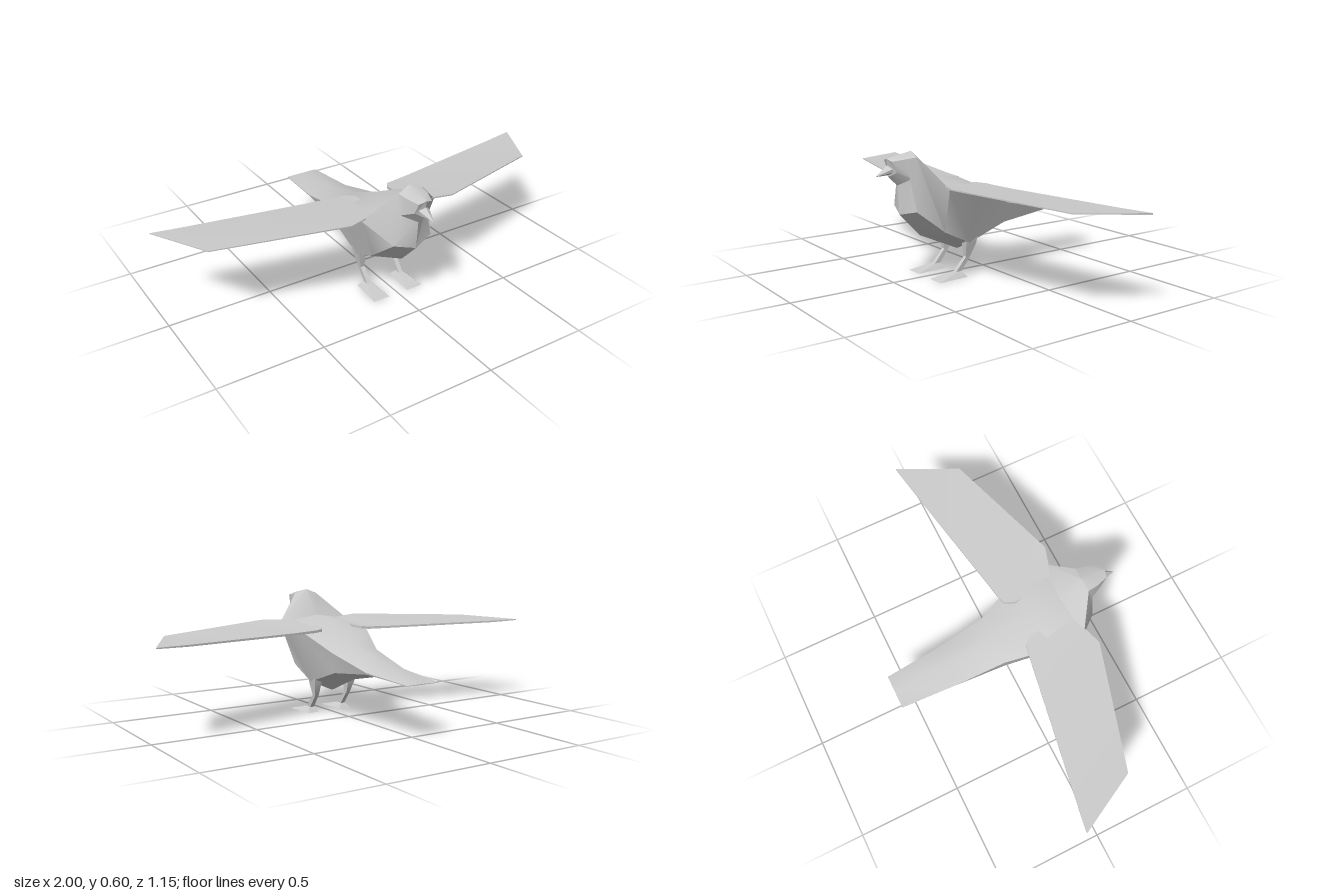
import * as THREE from 'three';
import { toCreasedNormals } from 'three/addons/utils/BufferGeometryUtils.js';

const material = new THREE.MeshStandardMaterial({ color: 0xcccccc });

// Skin a list of equal-length rings (clockwise seen from the far end) and cap both ends.
function loft(name, rings, crease = 0.6) {
  const positions = [];
  const edge1 = new THREE.Vector3(), edge2 = new THREE.Vector3();
  const tri = (a, b, c) => {
    edge1.subVectors(b, a);
    edge2.subVectors(c, a);
    if (edge1.cross(edge2).length() < 1e-8) return;
    for (const p of [a, b, c]) positions.push(p.x, p.y, p.z);
  };
  const loops = rings.map(r => r.map(p => new THREE.Vector3(...p)));
  const n = loops[0].length, last = loops[loops.length - 1];
  for (let i = 0; i < loops.length - 1; i++) {
    const r = loops[i], s = loops[i + 1];
    for (let j = 0; j < n; j++) {
      const k = (j + 1) % n;
      tri(r[j], s[j], r[k]);
      tri(r[k], s[j], s[k]);
    }
  }
  for (let j = 1; j < n - 1; j++) {
    tri(loops[0][0], loops[0][j], loops[0][j + 1]);
    tri(last[0], last[j + 1], last[j]);
  }
  const geometry = new THREE.BufferGeometry();
  geometry.setAttribute('position', new THREE.Float32BufferAttribute(positions, 3));
  const mesh = new THREE.Mesh(toCreasedNormals(geometry, crease), material);
  mesh.name = name;
  return mesh;
}

// Mirror rings across x = 0, keeping the faces outward.
const mirror = rings => rings.map(r => r.map(([x, y, z]) => [-x, y, z]).reverse());

// Six-sided ring: top, upper side, lower side, bottom, then the mirrored sides.
function hexRing([ty, tz], [ux, uy, uz], [lx, ly, lz], [by, bz]) {
  return [[0, ty, tz], [ux, uy, uz], [lx, ly, lz], [0, by, bz], [-lx, ly, lz], [-ux, uy, uz]];
}

// Horizontal rectangle used for legs and feet.
const rect = (x, y, z, w, d) => [
  [x - w, y, z + d], [x + w, y, z + d], [x + w, y, z - d], [x - w, y, z - d]
];

export function createModel() {
  const bird = new THREE.Group();
  bird.name = 'bird';

  // Tail, body and head, from back to front
  bird.add(loft('body', [
    hexRing([0.249, -0.575], [0.085, 0.248, -0.575], [0.085, 0.246, -0.575], [0.245, -0.575]),
    hexRing([0.298, -0.29], [0.105, 0.266, -0.3], [0.102, 0.258, -0.3], [0.243, -0.3]),
    hexRing([0.36, -0.055], [0.125, 0.325, -0.055], [0.11, 0.23, -0.045], [0.19, -0.045]),
    hexRing([0.455, 0.15], [0.195, 0.428, 0.16], [0.118, 0.16, 0.16], [0.108, 0.15]),
    hexRing([0.472, 0.295], [0.198, 0.44, 0.32], [0.126, 0.23, 0.3], [0.2, 0.355]),
    hexRing([0.595, 0.395], [0.062, 0.573, 0.405], [0.1, 0.335, 0.43], [0.31, 0.46]),
    hexRing([0.582, 0.46], [0.055, 0.568, 0.455], [0.068, 0.48, 0.43], [0.445, 0.47]),
    hexRing([0.57, 0.522], [0.034, 0.56, 0.515], [0.04, 0.51, 0.493], [0.488, 0.515])
  ]));

  // Beak
  bird.add(loft('beak', [
    hexRing([0.545, 0.495], [0.026, 0.525, 0.495], [0.024, 0.51, 0.495], [0.492, 0.495]),
    hexRing([0.541, 0.518], [0.024, 0.522, 0.515], [0.021, 0.508, 0.515], [0.496, 0.517]),
    hexRing([0.497, 0.575], [0.002, 0.496, 0.575], [0.002, 0.495, 0.575], [0.494, 0.575])
  ], 0.3));

  // Wing stations: x, leading z and y, trailing z and y, thickness
  const wing = [
    [0.09, 0.32, 0.452, 0.10, 0.434, 0.012],
    [0.115, 0.325, 0.453, 0.06, 0.428, 0.012],
    [0.155, 0.325, 0.454, 0.05, 0.425, 0.012],
    [0.27, 0.36, 0.457, 0.03, 0.423, 0.010],
    [0.855, 0.185, 0.434, -0.074, 0.423, 0.008],
    [1.0, -0.095, 0.425, -0.1, 0.425, 0.005]
  ].map(([x, lz, ly, tz, ty, t]) => [
    [x, ly, lz], [x, ty, tz], [x, ty - t, tz], [x, ly - t * 0.6, lz]
  ]);
  bird.add(loft('leftWing', wing), loft('rightWing', mirror(wing)));

  // Legs bend forward below the thigh; feet are low wedges
  const leg = [
    rect(0.098, 0.19, 0.148, 0.022, 0.032),
    rect(0.098, 0.155, 0.15, 0.019, 0.028),
    rect(0.092, 0.09, 0.157, 0.010, 0.012),
    rect(0.09, 0.015, 0.218, 0.011, 0.016)
  ];
  const foot = [
    rect(0.092, 0.026, 0.213, 0.012, 0.016),
    [[0.049, 0, 0.335], [0.135, 0, 0.335], [0.125, 0, 0.175], [0.062, 0, 0.175]]
  ];
  bird.add(loft('leftLeg', leg, 0.4), loft('rightLeg', mirror(leg), 0.4));
  bird.add(loft('leftFoot', foot, 0.3), loft('rightFoot', mirror(foot), 0.3));

  return bird;
}
